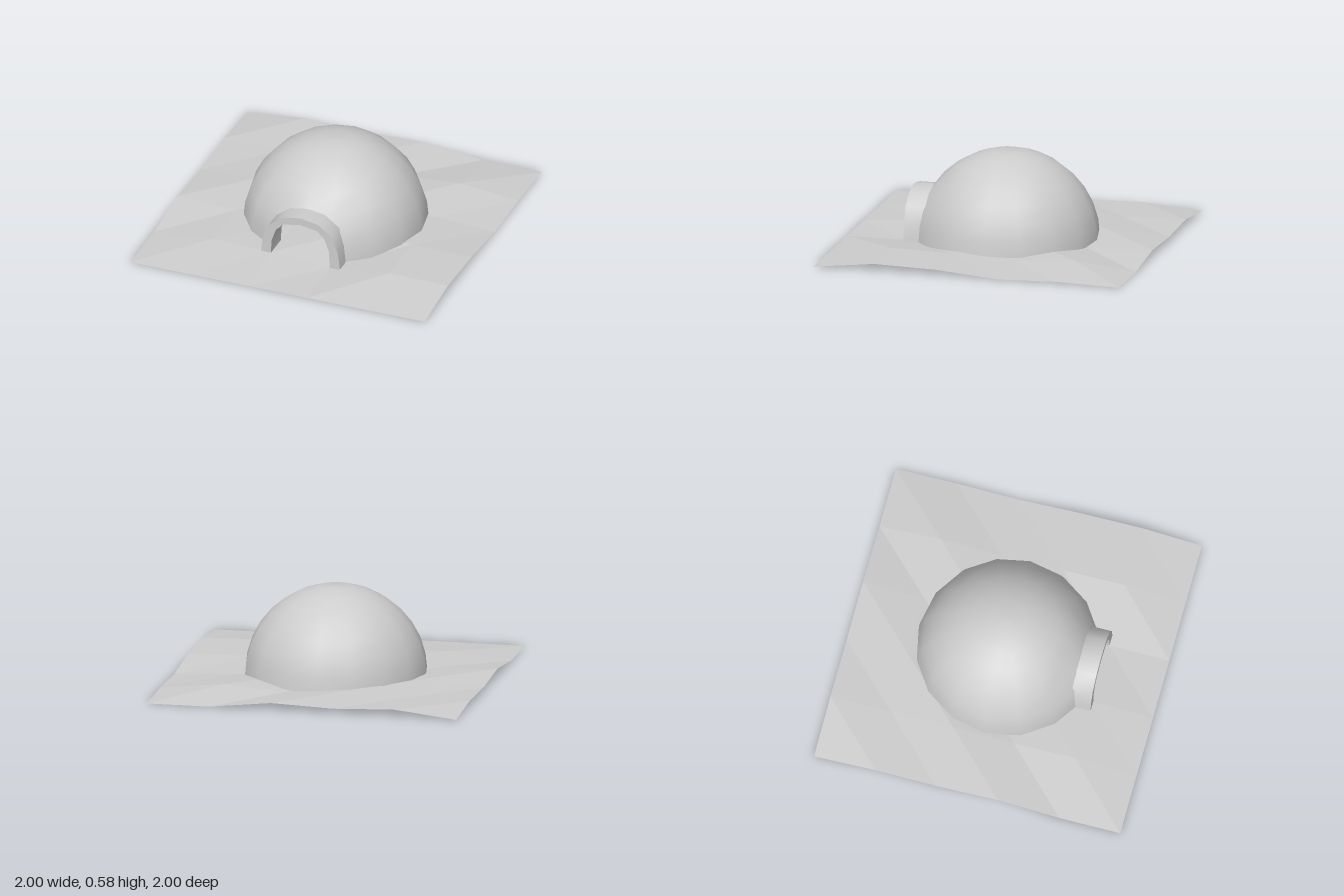
import * as THREE from 'three';
import { toCreasedNormals } from 'three/addons/utils/BufferGeometryUtils.js';

const COLS = 16, RINGS = 8, OUTER = 0.585, INNER = 0.53, BASE = 0.005;

// Half outline of the doorway cut in the dome, from foot to crown
const DOOR = [[0.235, BASE], [0.225, 0.11], [0.195, 0.2], [0.12, 0.275], [0, 0.3]];

// Dome shell of given radius with an arched doorway at +z; flip turns it inward
function domeShell(radius, flip) {
  const pos = [], index = [];
  for (let j = 0; j <= RINGS; j++) {
    const e = (j / RINGS) * Math.PI / 2;
    for (let i = 0; i < COLS; i++) {
      const a = (i / COLS) * Math.PI * 2;
      let x = radius * Math.cos(e) * Math.sin(a);
      let y = Math.max(BASE, radius * Math.sin(e));
      let z = radius * Math.cos(e) * Math.cos(a);
      if (j === RINGS) y = radius * 0.987;
      // Pull the vertices round the doorway onto its outline
      const side = i === 1 ? 1 : i === COLS - 1 ? -1 : 0;
      if ((side && j <= 3) || (i === 0 && j === 3)) {
        const [dx, dy] = DOOR[side ? j : 4];
        x = dx * side;
        y = dy;
        z = Math.sqrt(radius * radius - x * x - y * y);
      }
      pos.push(x, y, z);
    }
  }
  for (let j = 0; j < RINGS; j++) {
    for (let i = 0; i < COLS; i++) {
      if (j < 3 && (i === 0 || i === COLS - 1)) continue; // doorway
      const n = (i + 1) % COLS;
      const a = j * COLS + i, b = j * COLS + n, c = b + COLS, d = a + COLS;
      if (flip) index.push(a, c, b, a, d, c);
      else index.push(a, b, c, a, c, d);
    }
  }
  const g = new THREE.BufferGeometry();
  g.setAttribute('position', new THREE.Float32BufferAttribute(pos, 3));
  g.setIndex(index);
  g.computeVertexNormals();
  return g;
}

// Entrance arch: thick band extruded along z
function archGeometry(z0, z1) {
  const outer = [[0.27, BASE], [0.255, 0.12], [0.215, 0.23], [0.12, 0.303], [0, 0.325]];
  const inner = [[0.2, BASE], [0.195, 0.12], [0.165, 0.205], [0.115, 0.255], [0, 0.275]];
  const span = (half) => [...half, ...half.slice(0, -1).reverse().map(([x, y]) => [-x, y])];
  const pts = [...span(outer), ...span(inner).reverse()];
  const shape = new THREE.Shape(pts.map(([x, y]) => new THREE.Vector2(x, y)));
  const g = new THREE.ExtrudeGeometry(shape, { depth: z1 - z0, bevelEnabled: false });
  g.translate(0, 0, z0);
  return toCreasedNormals(g, 0.7);
}

// Uneven ground sheet, one height per grid corner, back row first
function groundGeometry() {
  const heights = [
    [0, 0.045, 0.03, 0.045, 0, 0],
    [0.03, 0.03, 0.05, 0.02, 0.05, 0.01],
    [0.02, 0.05, 0.01, 0.04, 0.02, 0],
    [0.045, 0.03, 0.03, 0.05, 0.04, 0.035],
    [0, 0.04, 0.03, 0, 0.05, 0.045],
    [0, 0, 0, 0, 0, 0],
  ].flat();
  const g = new THREE.PlaneGeometry(2, 2, 5, 5).rotateX(-Math.PI / 2);
  heights.forEach((h, i) => g.attributes.position.setY(i, h));
  const flat = g.toNonIndexed();
  flat.computeVertexNormals();
  return flat;
}

export function createModel() {
  const group = new THREE.Group();
  const snow = new THREE.MeshStandardMaterial({ color: 0xcccccc, side: THREE.DoubleSide });
  snow.name = 'snowGrey';
  const add = (name, geometry) => {
    const mesh = new THREE.Mesh(geometry, snow);
    mesh.name = name;
    group.add(mesh);
  };

  add('ground', groundGeometry());
  add('domeOutside', domeShell(OUTER, false));
  add('domeInside', domeShell(INNER, true));

  // Underside of the dome wall, open at the doorway
  const gap = Math.PI / 8;
  const rim = new THREE.RingGeometry(INNER, OUTER, COLS - 2, 1, Math.PI / 2 + gap, Math.PI * 2 - gap * 2);
  add('domeRim', rim.rotateX(Math.PI / 2).translate(0, BASE, 0));

  add('entranceArch', archGeometry(0.44, 0.61));
  return group;
}
